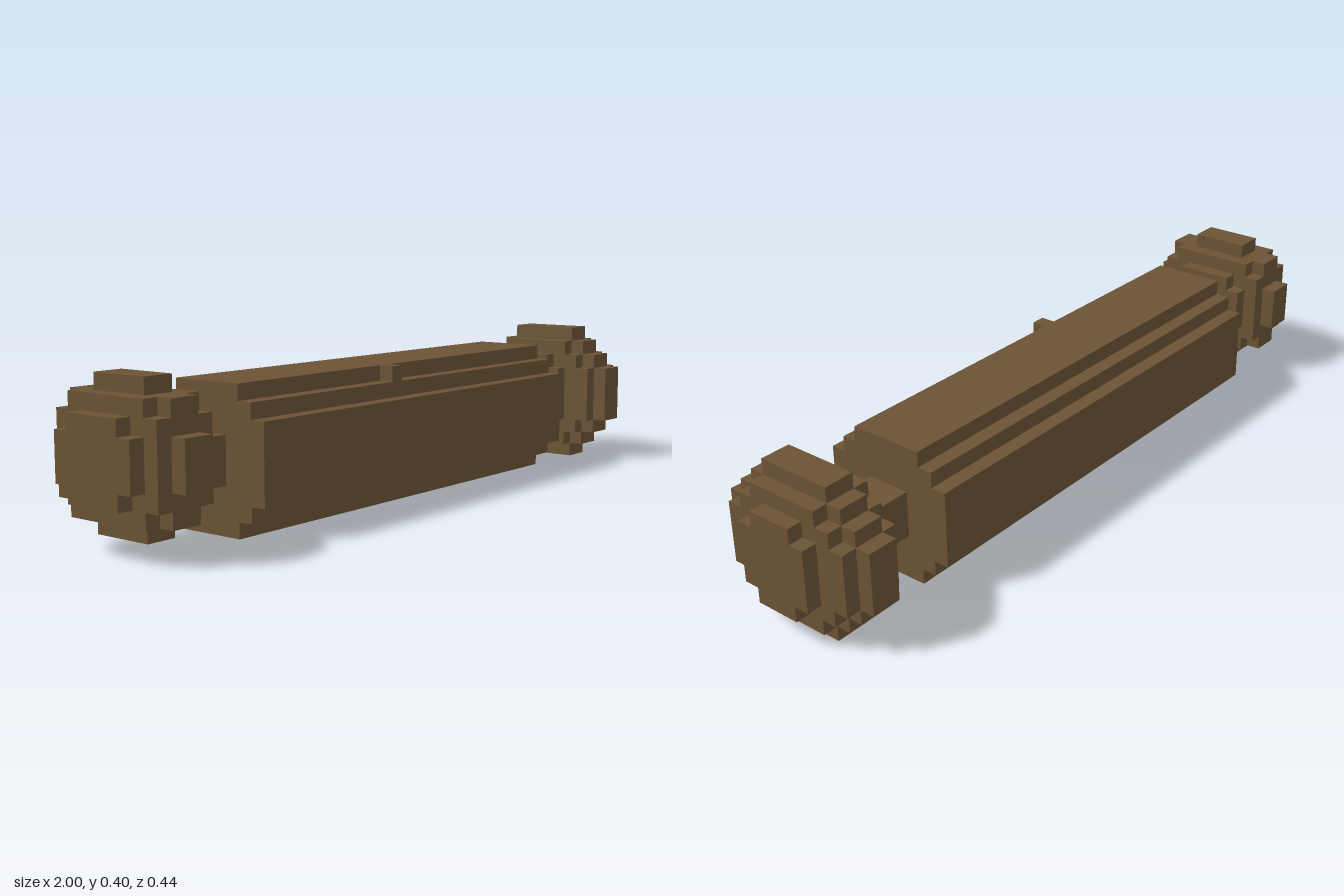
import * as THREE from 'three';

const wood = new THREE.MeshStandardMaterial({ color: 0x6b5335 });
wood.name = 'brown wood';

// Stepped prism along x. steps: [halfZ, halfY] pairs, widest and lowest first.
function steppedPrism(name, x0, x1, cy, cz, steps) {
  const quarter = [];
  steps.forEach(([z, y], i) => {
    if (i > 0) quarter.push([z, steps[i - 1][1]]);
    quarter.push([z, y]);
  });
  const flipped = [...quarter].reverse();
  const outline = [
    ...quarter,
    ...flipped.map(([z, y]) => [-z, y]),
    ...quarter.map(([z, y]) => [-z, -y]),
    ...flipped.map(([z, y]) => [z, -y]),
  ].map(([z, y]) => new THREE.Vector2(z, y));
  const geometry = new THREE.ExtrudeGeometry(new THREE.Shape(outline), {
    depth: x1 - x0, bevelEnabled: false,
  });
  geometry.rotateY(Math.PI / 2);
  geometry.translate(x0, cy, cz);
  const mesh = new THREE.Mesh(geometry, wood);
  mesh.name = name;
  return mesh;
}

// Blocky ball made of a wide middle, two shoulders and two end caps
function knob(name, side, cy, cz, middle, shoulder, cap) {
  const group = new THREE.Group();
  group.name = name;
  const layers = [
    ['innerCap', 0.76, 0.80, cap],
    ['innerShoulder', 0.80, 0.84, shoulder],
    ['middle', 0.84, 0.92, middle],
    ['outerShoulder', 0.92, 0.96, shoulder],
    ['outerCap', 0.96, 1.00, cap],
  ];
  for (const [part, a, b, steps] of layers) {
    group.add(steppedPrism(part, side > 0 ? a : -b, side > 0 ? b : -a, cy, cz, steps));
  }
  return group;
}

export function createModel() {
  const model = new THREE.Group();
  model.name = 'rollingPin';

  // Roller
  model.add(steppedPrism('roller', -0.64, 0.64, 0.18, 0,
    [[0.18, 0.10], [0.14, 0.14], [0.10, 0.18]]));

  // Small chip on the upper front ledge
  const chip = new THREE.Mesh(new THREE.BoxGeometry(0.04, 0.04, 0.04), wood);
  chip.name = 'chip';
  chip.position.set(-0.10, 0.34, 0.12);
  model.add(chip);

  // Handle necks
  for (const side of [-1, 1]) {
    const neck = new THREE.Mesh(new THREE.BoxGeometry(0.12, 0.12, 0.12), wood);
    neck.name = side > 0 ? 'leftNeck' : 'rightNeck';
    neck.position.set(side * 0.70, 0.18, 0);
    model.add(neck);
  }

  // Handle knobs: the right one is slightly smaller and off centre
  model.add(knob('leftKnob', 1, 0.20, 0,
    [[0.22, 0.08], [0.18, 0.12], [0.14, 0.16], [0.10, 0.20]],
    [[0.18, 0.08], [0.14, 0.12], [0.10, 0.16]],
    [[0.10, 0.08], [0.06, 0.12]]));
  model.add(knob('rightKnob', -1, 0.22, 0.02,
    [[0.20, 0.06], [0.16, 0.14], [0.08, 0.18]],
    [[0.16, 0.10], [0.12, 0.14]],
    [[0.12, 0.06], [0.08, 0.10]]));

  return model;
}
